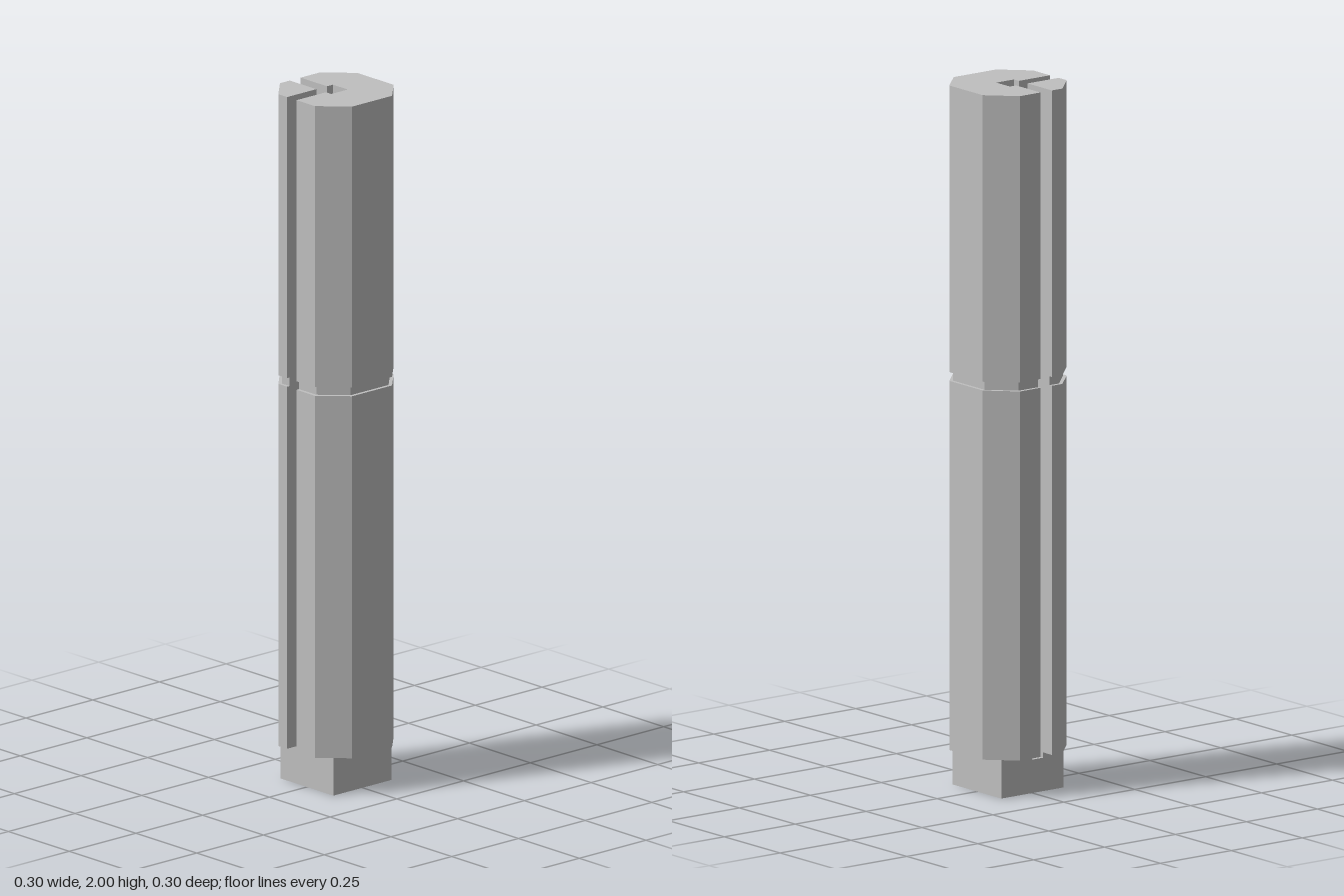
import * as THREE from 'three';

const grey = new THREE.MeshStandardMaterial({ color: 0xbfbfbf });
grey.name = 'grey';

// Shape from [x, z] points; duplicate neighbours are dropped
function outline(points) {
  const pts = points.filter((p, i) => {
    const q = points[(i + 1) % points.length];
    return p[0] !== q[0] || p[1] !== q[1];
  });
  return new THREE.Shape(pts.map(([x, z]) => new THREE.Vector2(x, -z)));
}

// Upright prism between two heights
function prism(name, shapes, y0, y1) {
  const geo = new THREE.ExtrudeGeometry(shapes, { depth: y1 - y0, bevelEnabled: false });
  geo.rotateX(-Math.PI / 2);
  geo.translate(0, y0, 0);
  const mesh = new THREE.Mesh(geo, grey);
  mesh.name = name;
  return mesh;
}

// Cross-section of half width h with chamfers starting at c,
// split in two by the side slot, the front slot and the central bore
function slotted(h, c) {
  const main = outline([
    [-h, -0.002], [-0.039, -0.002], [-0.039, -0.024], [0.022, -0.024],
    [0.022, 0.038], [0, 0.038], [0, h], [c, h], [h, c],
    [h, -c], [c, -h], [-c, -h], [-h, -c],
  ]);
  const corner = outline([[-h, 0.038], [-0.039, 0.038], [-0.039, h], [-c, h], [-h, c]]);
  return [main, corner];
}

export function createModel() {
  const group = new THREE.Group();
  group.name = 'slottedPost';

  // Square foot with a through bore
  const h = 0.109, slotFloor = 0.095, bodyBase = 0.11;
  const foot = outline([[-h, h], [h, h], [h, -h], [-h, -h]]);
  foot.holes.push(outline([[-0.023, 0.021], [-0.023, -0.024], [0.022, -0.024], [0.022, 0.021]]));
  group.add(prism('foot', foot, 0, slotFloor));
  group.add(prism('footTop', slotted(h, h), slotFloor, bodyBase));

  // Octagonal shaft in two lengths, parted by a shallow groove
  group.add(prism('lowerShaft', slotted(0.148, 0.075), bodyBase, 1.16));
  group.add(prism('groove', slotted(0.138, 0.071), 1.16, 1.185));
  group.add(prism('upperShaft', slotted(0.148, 0.075), 1.185, 2));
  return group;
}
